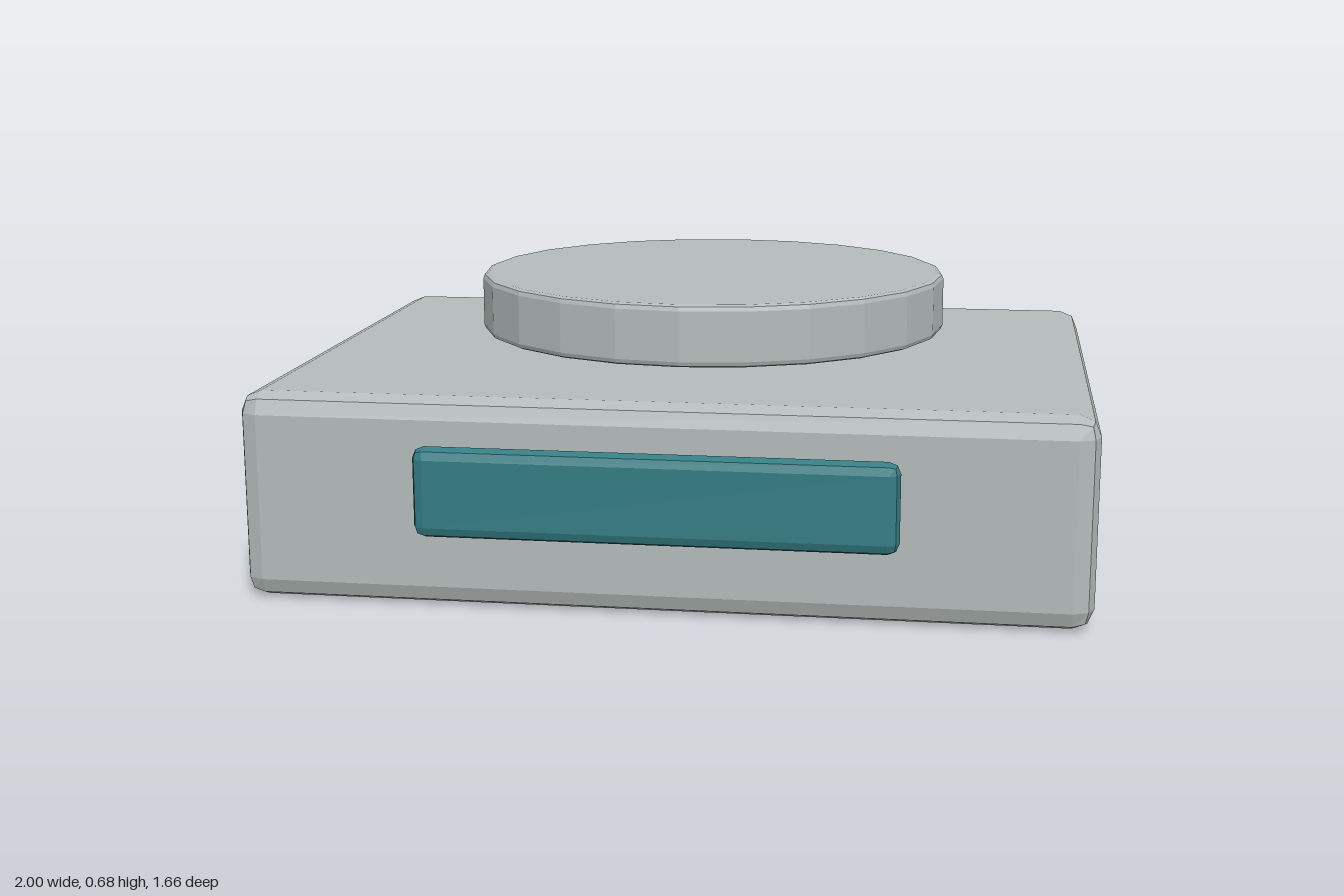
import * as THREE from 'three';
import { RoundedBoxGeometry } from 'three/addons/geometries/RoundedBoxGeometry.js';

export function createModel() {
  const group = new THREE.Group();
  const grey = new THREE.MeshStandardMaterial({ color: 0xb4bbba, flatShading: true });
  grey.name = 'pale grey';
  const teal = new THREE.MeshStandardMaterial({ color: 0x347d84, flatShading: true });
  teal.name = 'teal';

  const add = (name, geometry, material, x, y, z) => {
    const mesh = new THREE.Mesh(geometry, material);
    mesh.name = name;
    mesh.position.set(x, y, z);
    group.add(mesh);
  };

  // Main block, its edges bevelled in two facets
  add('body', new RoundedBoxGeometry(2, 0.5, 1.5, 1, 0.05), grey, 0, 0.25, 0.01);

  // 24-sided disc floating just above the body, with small bevelled rims
  const r = 0.622, h = 0.155, b = 0.015, k = b * 0.29;
  const profile = [
    [0, 0], [r - b, 0], [r - k, k], [r, b],
    [r, h - b], [r - k, h - k], [r - b, h], [0, h],
  ].map(([x, y]) => new THREE.Vector2(x, y));
  add('topDisc', new THREE.LatheGeometry(profile, 24), grey, 0, 0.52, -0.208);

  // Slim panel floating just in front of the body
  add('frontPanel', new RoundedBoxGeometry(1.12, 0.214, 0.058, 1, 0.027), teal, 0, 0.292, 0.802);

  return group;
}
